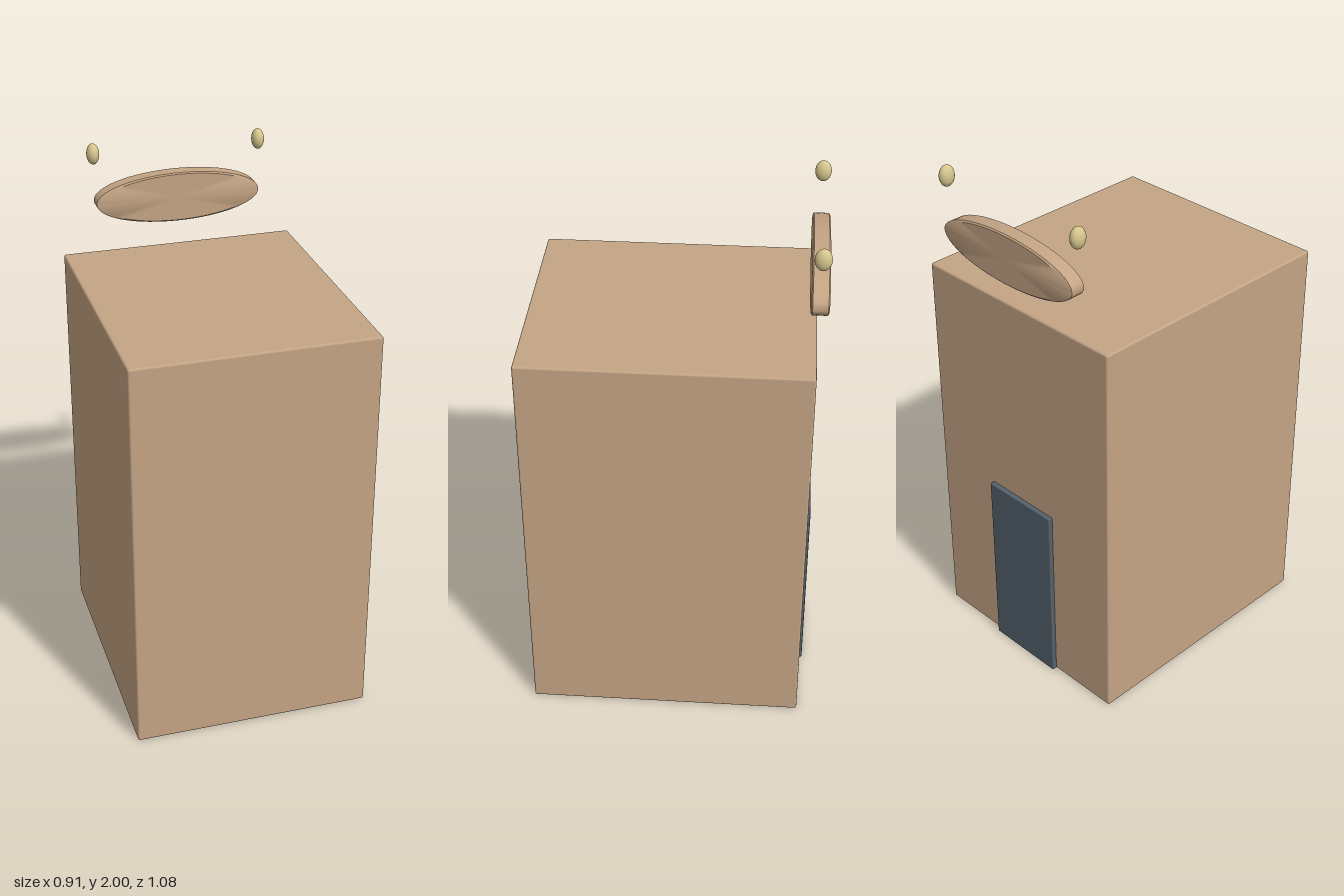
import * as THREE from 'three';
import { RoundedBoxGeometry } from 'three/addons/geometries/RoundedBoxGeometry.js';
import { toCreasedNormals } from 'three/addons/utils/BufferGeometryUtils.js';

export function createModel() {
  const model = new THREE.Group();
  model.name = 'model';
  const tan = new THREE.MeshStandardMaterial({ color: 0xc4a484 });
  const slate = new THREE.MeshStandardMaterial({ color: 0x55616c });
  const cream = new THREE.MeshStandardMaterial({ color: 0xd6c68e });

  const add = (name, geometry, material, x, y, z) => {
    const mesh = new THREE.Mesh(geometry, material);
    mesh.name = name;
    mesh.position.set(x, y, z);
    model.add(mesh);
    return mesh;
  };

  // Main block, with slightly softened edges
  add('body', new RoundedBoxGeometry(0.91, 1.57, 1.042, 2, 0.008), tan, 0, 0.785, 0.017);

  // Thin door panel on the back wall
  add('door', new RoundedBoxGeometry(0.325, 0.742, 0.036, 2, 0.004), slate, 0, 0.371, -0.504);

  // Floating oval plate: a bevelled disc turned to face z and stretched sideways
  const r = 0.097, h = 0.032, b = 0.005;
  const profile = [[0, -h], [r - b, -h], [r, b - h], [r, h - b], [r - b, h], [0, h]]
    .map(([x, y]) => new THREE.Vector2(x, y));
  const disc = new THREE.LatheGeometry(profile, 64).rotateX(Math.PI / 2).scale(0.323 / r, 1, 1);
  add('ovalPlate', toCreasedNormals(disc, 0.6), tan, 0, 1.766, -0.506);

  // Pair of small egg-shaped beads above the plate
  const bead = new THREE.SphereGeometry(1, 32, 20).scale(0.024, 0.04, 0.03);
  for (const [name, side] of [['leftBead', 1], ['rightBead', -1]]) {
    add(name, bead, cream, side * 0.326, 1.96, -0.506);
  }
  return model;
}
